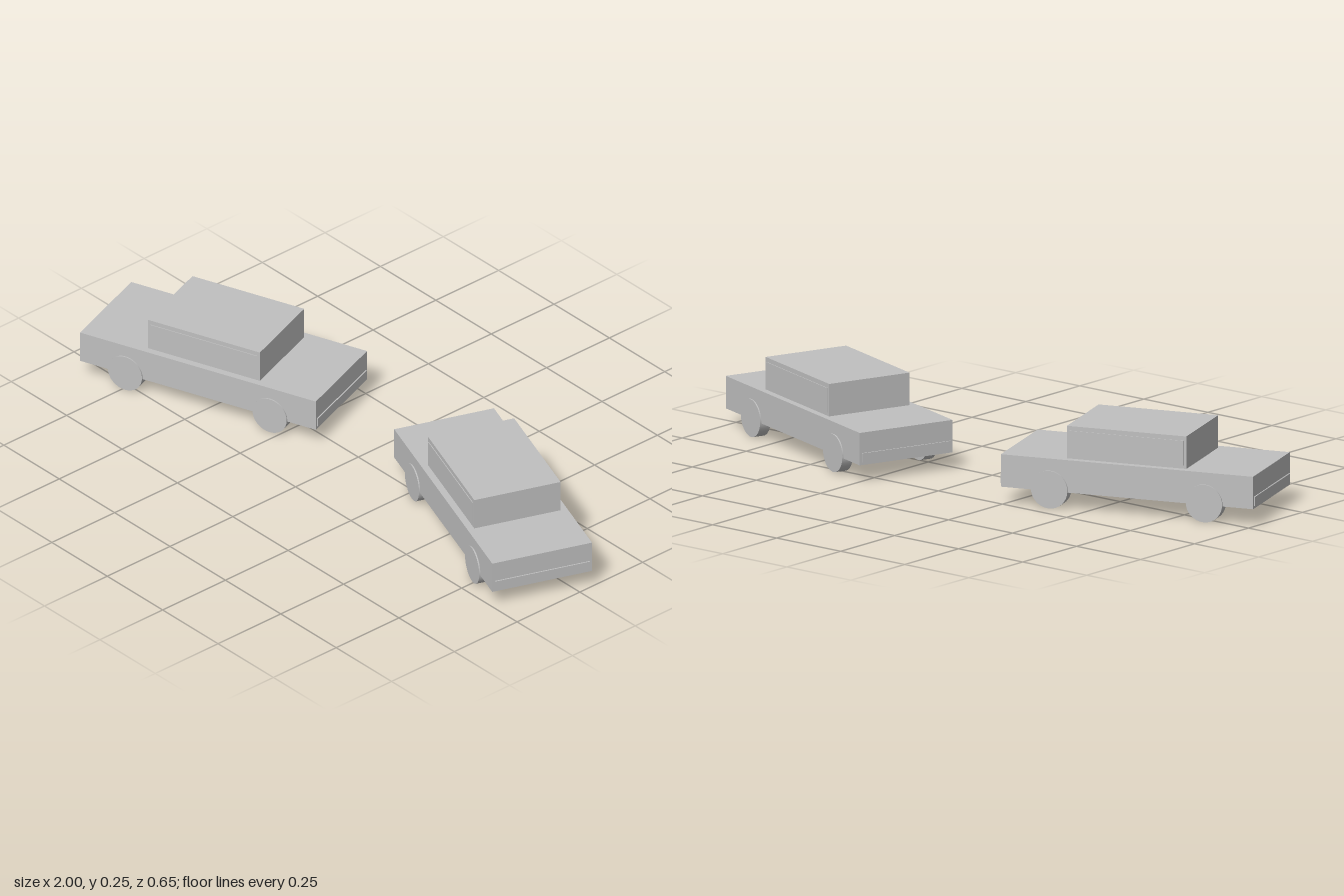
import * as THREE from 'three';

const grey = new THREE.MeshStandardMaterial({ color: 0xc0c0c0 });
grey.name = 'plain grey';

function addPart(parent, name, geometry, x, y, z) {
  const mesh = new THREE.Mesh(geometry, grey);
  mesh.name = name;
  mesh.position.set(x, y, z);
  parent.add(mesh);
  return mesh;
}

// One saloon car, its length along x
function createCar(name) {
  const car = new THREE.Group();
  car.name = name;

  addPart(car, 'body', new THREE.BoxGeometry(0.802, 0.1, 0.32), 0, 0.103, 0);
  addPart(car, 'cabin', new THREE.BoxGeometry(0.38, 0.1, 0.277), 0.009, 0.203, 0);

  // Bumpers at both ends
  for (const end of [-1, 1]) {
    addPart(car, 'bumper', new THREE.BoxGeometry(0.012, 0.028, 0.305), end * 0.399, 0.076, 0);
  }

  const wheel = new THREE.CylinderGeometry(0.058, 0.058, 0.036, 32).rotateX(Math.PI / 2);
  for (const side of [-1, 1]) {
    // Side window plate
    addPart(car, 'sideWindow', new THREE.BoxGeometry(0.362, 0.076, 0.006), 0.009, 0.201, side * 0.138);
    // Wheels, standing slightly proud of the body
    for (const end of [-1, 1]) {
      addPart(car, 'wheel', wheel, end * 0.246, 0.058, side * 0.146);
    }
  }
  return car;
}

export function createModel() {
  const model = new THREE.Group();
  model.name = 'twoCars';

  // The cars are turned opposite ways, one on each side
  for (const side of [-1, 1]) {
    const car = createCar(side > 0 ? 'leftCar' : 'rightCar');
    car.position.set(side * 0.5665, 0, -side * 0.037);
    car.rotation.y = -side * THREE.MathUtils.degToRad(20);
    model.add(car);
  }
  return model;
}
